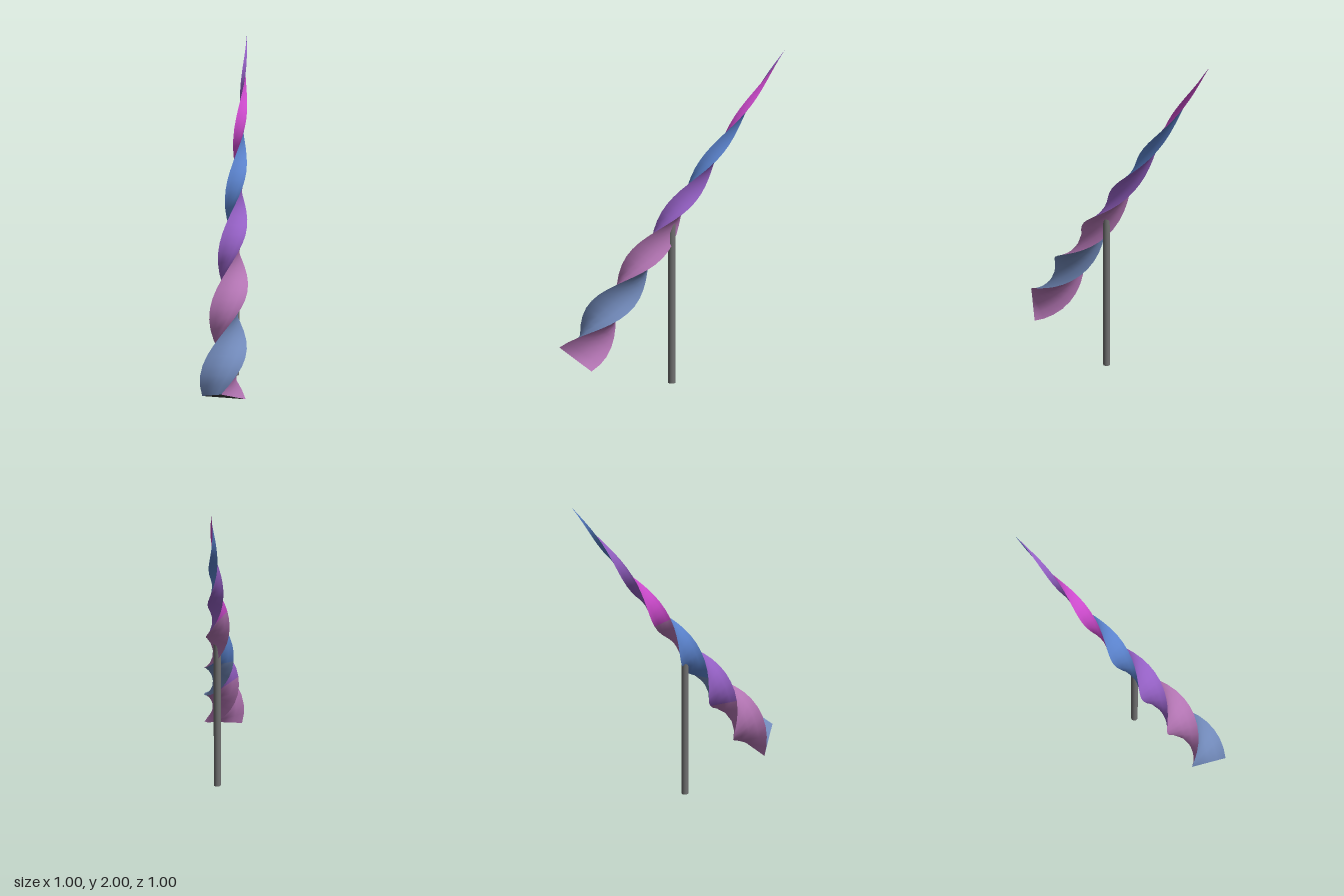
import * as THREE from 'three';

const mat = (name, color) => {
  const m = new THREE.MeshStandardMaterial({ color });
  m.name = name;
  return m;
};

export function createModel() {
  const group = new THREE.Group();
  const mauve = mat('mauve', 0xb274b2);
  const magenta = mat('magenta', 0xcc4acc);
  const purple = mat('purple', 0x9460c4);
  const dullBlue = mat('dull blue', 0x7088b8);
  const brightBlue = mat('bright blue', 0x5a82cc);
  const poleGrey = mat('pole grey', 0x707070);
  const capGrey = mat('cap grey', 0x3c3c3c);

  // Triangular base, listed counter-clockwise about the spire's axis
  const corners = [
    new THREE.Vector3(-0.5, 0.29, 0.5),
    new THREE.Vector3(-0.3, 0.165, 0.475),
    new THREE.Vector3(-0.475, 0.165, 0.29),
  ];
  const base = new THREE.Vector3();
  corners.forEach((c) => base.addScaledVector(c, 1 / 3));
  const tip = new THREE.Vector3(0.5, 2, -0.5);
  const axis = tip.clone().sub(base).normalize();

  // Point on a side: u runs across the side, t from base to tip, two full turns
  const TURN = Math.PI * 4;
  const spirePoint = (side, u, t) =>
    corners[side].clone().lerp(corners[(side + 1) % 3], u).sub(base)
      .applyAxisAngle(axis, TURN * t).multiplyScalar(1 - t)
      .add(base.clone().lerp(tip, t));

  // One twisted side, its colour changing at a fraction of the length
  const RINGS = 40, ACROSS = 4;
  const addSide = (name, side, materials, split) => {
    const positions = [], index = [];
    for (let i = 0; i <= RINGS; i++) {
      for (let j = 0; j <= ACROSS; j++) {
        positions.push(...spirePoint(side, j / ACROSS, i / RINGS).toArray());
      }
    }
    for (let i = 0; i < RINGS; i++) {
      for (let j = 0; j < ACROSS; j++) {
        const a = i * (ACROSS + 1) + j, b = a + 1;
        const d = a + ACROSS + 1, c = d + 1;
        index.push(a, b, c, a, c, d);
      }
    }
    const geo = new THREE.BufferGeometry();
    geo.setAttribute('position', new THREE.Float32BufferAttribute(positions, 3));
    geo.setIndex(index);
    geo.computeVertexNormals();
    const cut = Math.round(RINGS * split) * ACROSS * 6;
    geo.addGroup(0, cut, 0);
    geo.addGroup(cut, index.length - cut, 1);
    const mesh = new THREE.Mesh(geo, materials);
    mesh.name = name;
    group.add(mesh);
  };
  addSide('purpleSide', 0, [mauve, purple], 0.22);
  addSide('pinkSide', 1, [mauve, magenta], 0.58);
  addSide('blueSide', 2, [dullBlue, brightBlue], 0.35);

  // Base cap, facing away from the tip
  const capGeo = new THREE.BufferGeometry().setFromPoints([corners[0], corners[2], corners[1]]);
  capGeo.computeVertexNormals();
  const cap = new THREE.Mesh(capGeo, capGrey);
  cap.name = 'baseCap';
  group.add(cap);

  // Supporting pole
  const pole = new THREE.Mesh(new THREE.CylinderGeometry(0.022, 0.022, 0.99, 24), poleGrey);
  pole.position.set(-0.004, 0.495, 0.016);
  pole.name = 'pole';
  group.add(pole);

  return group;
}
